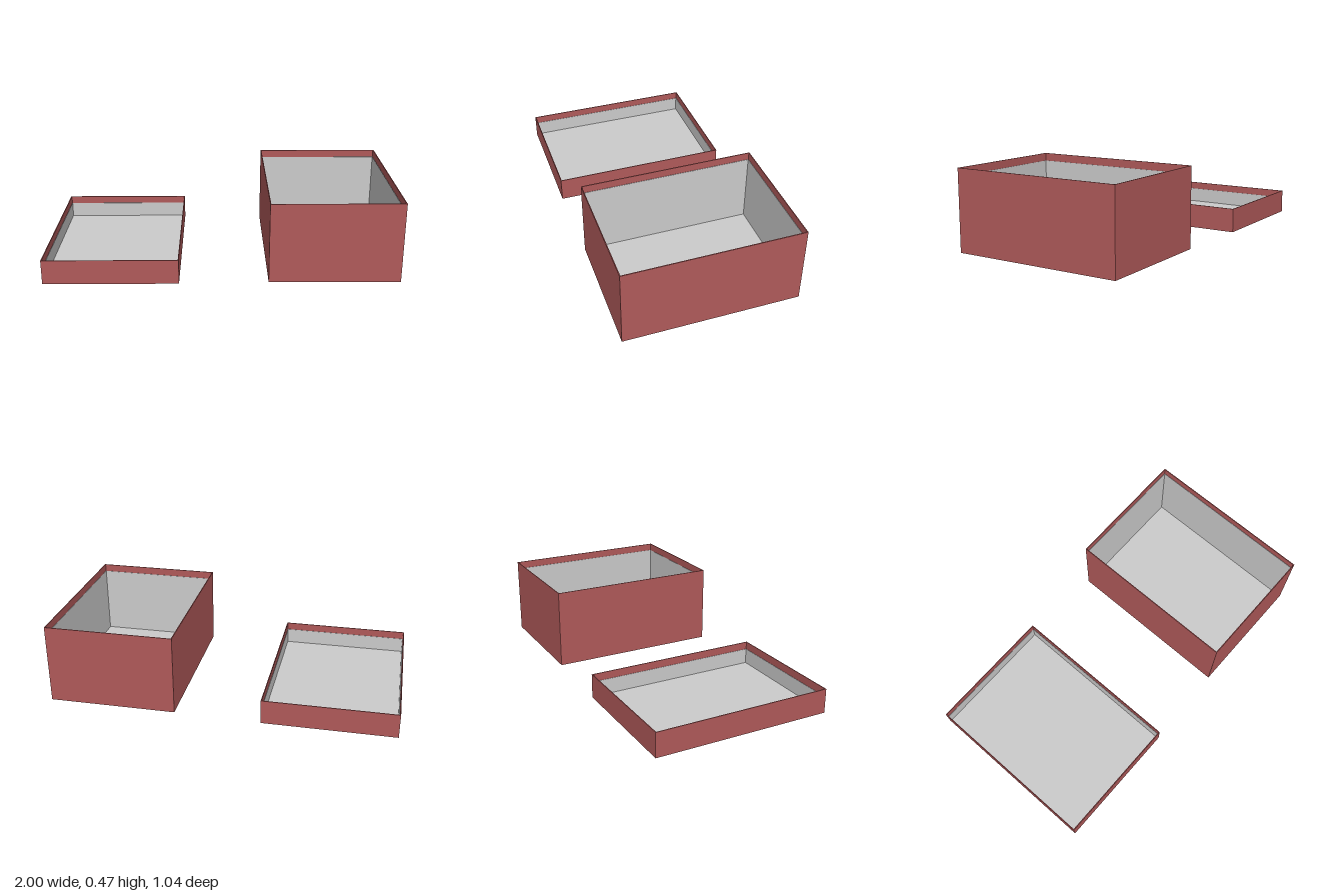
import * as THREE from 'three';

const red = new THREE.MeshStandardMaterial({ color: 0xb05a5a });
const grey = new THREE.MeshStandardMaterial({ color: 0xcccccc });

// Rectangular wall ring standing on y = 0
function ring(w, d, h, t) {
  const rect = (Type, a, b) => new Type([
    new THREE.Vector2(-a, -b), new THREE.Vector2(a, -b),
    new THREE.Vector2(a, b), new THREE.Vector2(-a, b),
  ]);
  const shape = rect(THREE.Shape, w / 2, d / 2);
  shape.holes.push(rect(THREE.Path, w / 2 - t, d / 2 - t));
  return new THREE.ExtrudeGeometry(shape, { depth: h, bevelEnabled: false }).rotateX(-Math.PI / 2);
}

// Open tray: thin card shell with a paper lining that stops below the rim
function tray(name, w, d, h) {
  const wall = 0.005, paper = 0.002, base = 0.005, band = 0.045;
  const group = new THREE.Group();
  group.name = name;
  const add = (part, geometry, material, y) => {
    const mesh = new THREE.Mesh(geometry, material);
    mesh.name = name + part;
    mesh.position.y = y;
    group.add(mesh);
  };
  const iw = w - 2 * wall, id = d - 2 * wall;
  add('Walls', ring(w, d, h, wall), red, 0);
  add('Base', new THREE.BoxGeometry(iw, base, id), red, base / 2);
  add('LiningWalls', ring(iw, id, h - band - base, paper), grey, base);
  add('LiningFloor', new THREE.BoxGeometry(iw - 2 * paper, paper, id - 2 * paper), grey, base + paper / 2);
  return group;
}

export function createModel() {
  const model = new THREE.Group();
  model.name = 'boxWithLid';

  // Deep box on the left, upturned lid on the right
  const box = tray('box', 0.74, 1.008, 0.465);
  box.position.x = 0.63;
  const lid = tray('lid', 0.76, 1.036, 0.142);
  lid.position.x = -0.62;

  model.add(box, lid);
  return model;
}
